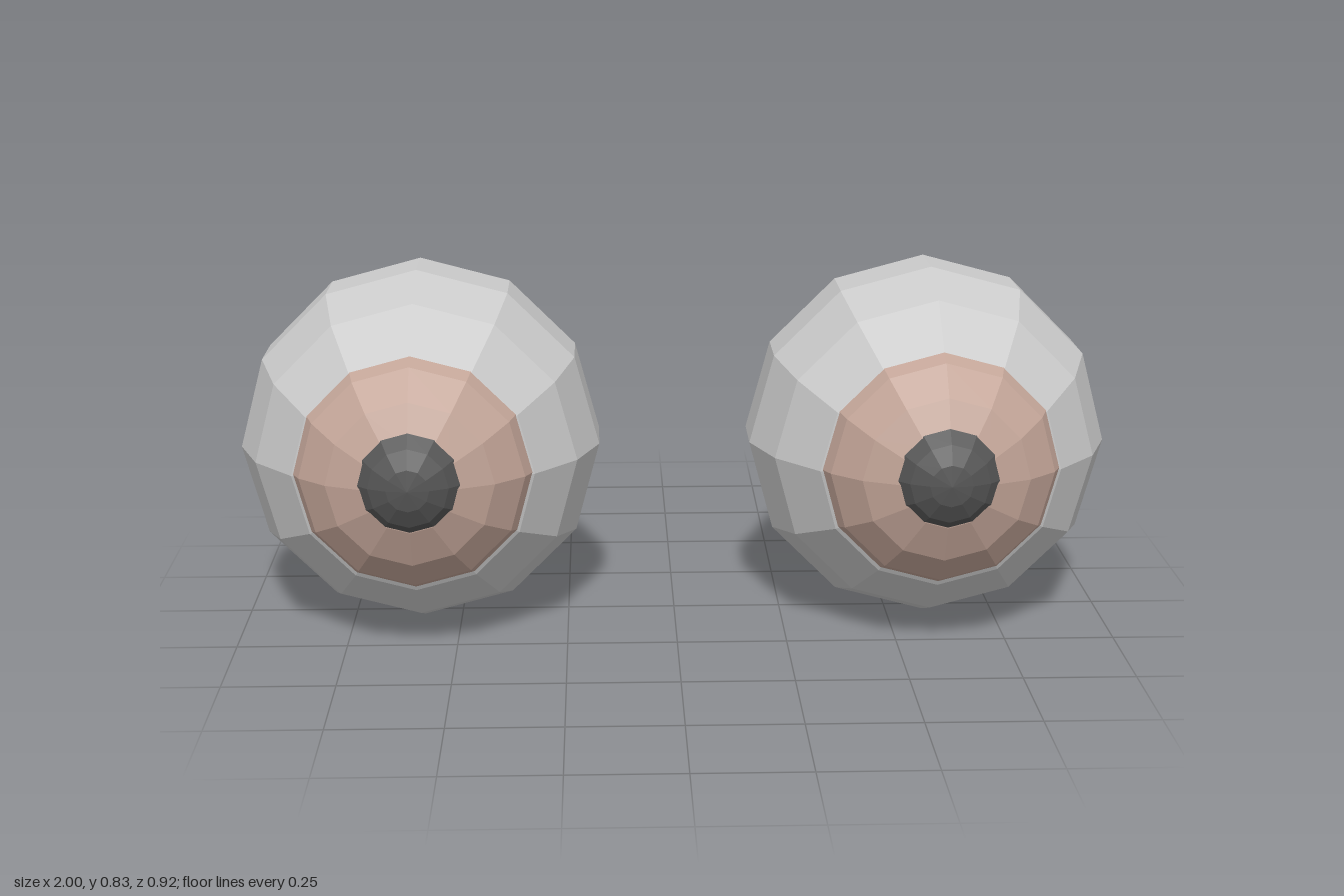
import * as THREE from 'three';

// Low-poly spheroid with its pole facing +z
function ball(name, color, radius, depth, y, z) {
  const geometry = new THREE.SphereGeometry(1, 12, 9);
  geometry.rotateX(Math.PI / 2);
  geometry.scale(radius, radius, depth);
  const mesh = new THREE.Mesh(
    geometry,
    new THREE.MeshStandardMaterial({ color, flatShading: true })
  );
  mesh.name = name;
  mesh.position.set(0, y, z);
  return mesh;
}

export function createModel() {
  const model = new THREE.Group();
  model.name = 'eyes';
  for (const [side, x] of [['left', 0.587], ['right', -0.587]]) {
    const eye = new THREE.Group();
    eye.name = side + 'Eye';
    eye.position.x = x;
    eye.add(
      ball('eyeball', 0xcccccc, 0.419, 0.419, 0.414, -0.037),
      // flattened iris bulging out of the eyeball
      ball('iris', 0xc3a598, 0.288, 0.222, 0.418, 0.207),
      // small pupil bulging out of the iris
      ball('pupil', 0x555555, 0.137, 0.117, 0.426, 0.343)
    );
    model.add(eye);
  }
  return model;
}
